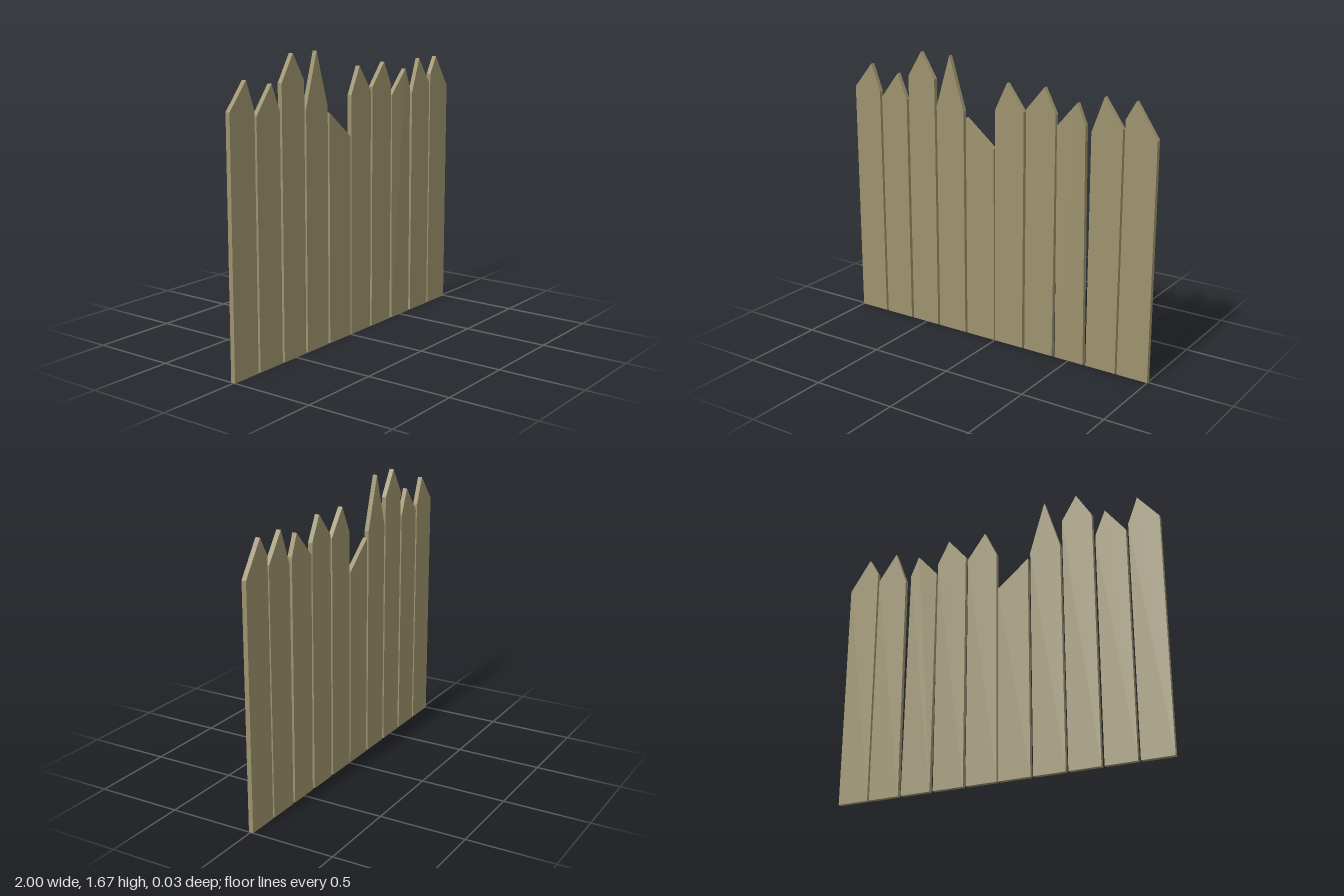
import * as THREE from 'three';

const BACK = -0.017, DEPTH = 0.027;

// Each plank: left x, right x, left shoulder y, peak x, peak y, right shoulder y
const planks = [
  [-1.0, -0.815, 1.41, -0.875, 1.56, 1.40],
  [-0.8, -0.617, 1.37, -0.68, 1.525, 1.375],
  [-0.6, -0.415, 1.52, -0.507, 1.67, 1.52],
  [-0.4, -0.213, 1.365, -0.307, 1.67, 1.36],
  [0.003, 0.19, 1.40, 0.08, 1.56, 1.41],
  [0.206, 0.392, 1.43, 0.32, 1.565, 1.425],
  [0.613, 0.8, 1.36, 0.687, 1.56, 1.40],
  [0.812, 1.0, 1.455, 0.872, 1.56, 1.37],
];

function plankGeometry(points) {
  const shape = new THREE.Shape(points.map(([x, y]) => new THREE.Vector2(x, y)));
  const geo = new THREE.ExtrudeGeometry(shape, { depth: DEPTH, bevelEnabled: false });
  return geo.translate(0, 0, BACK);
}

export function createModel() {
  const group = new THREE.Group();
  group.name = 'picketFence';
  const wood = new THREE.MeshStandardMaterial({ color: 0x9c926d });
  wood.name = 'weathered wood';

  const add = (name, geo) => {
    const mesh = new THREE.Mesh(geo, wood);
    mesh.name = name;
    group.add(mesh);
  };

  // Pointed planks
  planks.forEach(([l, r, ly, px, py, ry], i) => {
    add(`plank${i + 1}`, plankGeometry([[l, 0], [r, 0], [r, ry], [px, py], [l, ly]]));
  });

  // Broken plank with a slanted top
  add('brokenPlank', plankGeometry([[-0.197, 0], [-0.007, 0], [-0.007, 1.17], [-0.197, 1.325]]));

  // Warped plank: its tip and right shoulder lean forward
  const warped = plankGeometry([[0.412, 0], [0.595, 0], [0.58, 1.39], [0.53, 1.51], [0.402, 1.365]]);
  const pos = warped.attributes.position;
  for (let i = 0; i < pos.count; i++) {
    const across = THREE.MathUtils.clamp((pos.getX(i) - 0.402) / 0.128, 0, 1);
    pos.setZ(i, pos.getZ(i) + 0.007 * across * pos.getY(i) / 1.51);
  }
  warped.computeVertexNormals();
  add('warpedPlank', warped);

  return group;
}
